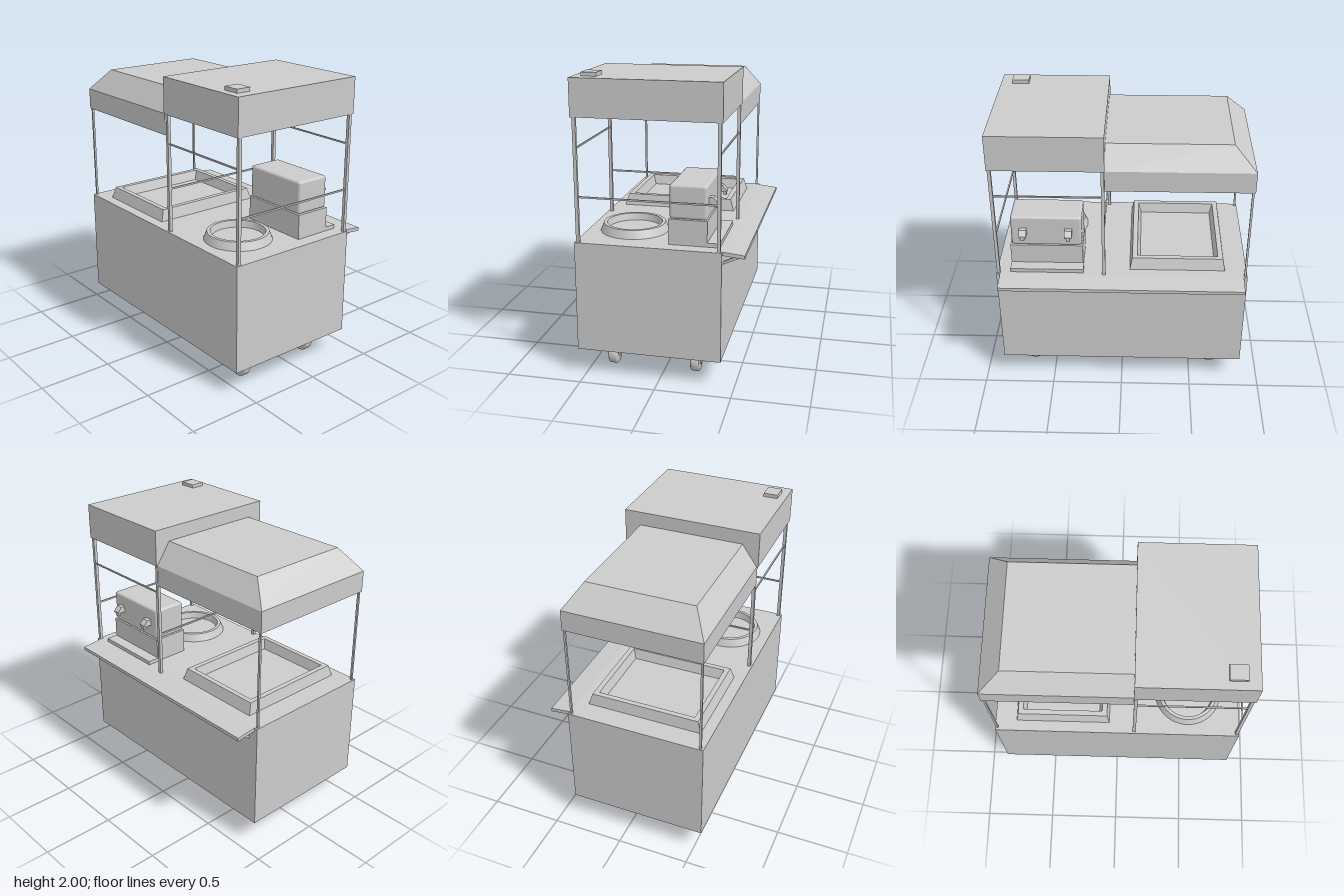
import * as THREE from 'three';
import { toCreasedNormals } from 'three/addons/utils/BufferGeometryUtils.js';
import { RoundedBoxGeometry } from 'three/addons/geometries/RoundedBoxGeometry.js';

const grey = new THREE.MeshStandardMaterial({ color: 0xcccccc });
const thin = new THREE.MeshStandardMaterial({ color: 0xcccccc, side: THREE.DoubleSide });

// Flat-faced skin through rings of four corners; the last ring is capped
function loft(rings, closed) {
  const p = [];
  const quad = (a, b, c, d) => p.push(...a, ...b, ...c, ...a, ...c, ...d);
  for (let i = 0; i < rings.length - 1; i++) {
    for (let j = 0; j < (closed ? 4 : 3); j++) {
      const k = (j + 1) % 4;
      quad(rings[i][j], rings[i][k], rings[i + 1][k], rings[i + 1][j]);
    }
  }
  quad(...rings[rings.length - 1]);
  const g = new THREE.BufferGeometry();
  g.setAttribute('position', new THREE.Float32BufferAttribute(p, 3));
  g.computeVertexNormals();
  return g;
}

// Corner ring, counter-clockwise seen from above
const ring = (x0, x1, z0, z1, y) => [[x1, y, z1], [x1, y, z0], [x0, y, z0], [x0, y, z1]];

export function createModel() {
  const model = new THREE.Group();

  const add = (name, geometry, parent = model, material = grey) => {
    const mesh = new THREE.Mesh(geometry, material);
    mesh.name = name;
    parent.add(mesh);
    return mesh;
  };
  // Box given by its limits on each axis
  const box = (name, x0, x1, y0, y1, z0, z1, parent) => {
    const m = add(name, new THREE.BoxGeometry(x1 - x0, y1 - y0, z1 - z0), parent);
    m.position.set((x0 + x1) / 2, (y0 + y1) / 2, (z0 + z1) / 2);
    return m;
  };
  // Outline in x and y, extruded along z
  const plate = (name, points, z0, z1, parent) => {
    const shape = new THREE.Shape(points.map(([x, y]) => new THREE.Vector2(x, y)));
    const g = new THREE.ExtrudeGeometry(shape, { depth: z1 - z0, bevelEnabled: false });
    add(name, g, parent).position.z = z0;
  };

  // Cabinet, front roof and vent
  box('cabinet', -0.555, 0.408, 0.17, 0.915, -0.865, 0.865);
  box('frontRoof', -0.555, 0.408, 1.73, 1.975, 0.108, 0.865);
  box('roofVent', -0.5, -0.4, 1.975, 2.0, 0.67, 0.785);

  // Hollow rear canopy with sloped shoulders, open towards the front
  add('rearCanopy', loft([
    ring(-0.545, 0.398, -0.865, 0.108, 1.585),
    ring(-0.545, 0.398, -0.865, 0.108, 1.73),
    ring(-0.44, 0.295, -0.72, 0.108, 1.88),
  ], false), model, thin);

  // Posts and rails
  const frame = new THREE.Group();
  frame.name = 'frame';
  model.add(frame);
  for (const x of [-0.532, 0.388]) {
    for (const z of [0.122, 0.849]) {
      box('post', x - 0.011, x + 0.011, 0.915, 1.73, z - 0.011, z + 0.011, frame);
    }
    box('rearPost', x - 0.007, x + 0.007, 0.915, 1.6, -0.857, -0.843, frame);
    box('sideRail', x - 0.005, x + 0.005, 1.525, 1.535, 0.122, 0.849, frame);
  }
  for (const z of [0.122, 0.849]) {
    box('crossRail', -0.532, 0.388, 1.211, 1.222, z - 0.005, z + 0.005, frame);
  }

  // Tilted side shelf on diagonal brackets
  const shelf = new THREE.Group();
  shelf.name = 'sideShelf';
  model.add(shelf);
  plate('shelfBoard', [[0.408, 0.89], [0.55, 0.876], [0.55, 0.9], [0.408, 0.915]], -0.84, 0.84, shelf);
  for (const z of [0.793, -0.787]) {
    plate('shelfBracket', [[0.408, 0.82], [0.54, 0.88], [0.51, 0.885], [0.408, 0.838]], z - 0.01, z + 0.01, shelf);
  }

  // Rectangular pan with sloped rim
  add('rectangularPan', loft([
    ring(-0.48, 0.33, -0.715, -0.055, 0.915),
    ring(-0.455, 0.305, -0.7, -0.072, 0.995),
    ring(-0.42, 0.27, -0.665, -0.107, 0.995),
    ring(-0.4, 0.25, -0.645, -0.127, 0.925),
  ], true), model, thin);

  // Round pan
  const bowl = [[0.23, 0], [0.208, 0.055], [0.185, 0.055], [0.175, 0.008], [0, 0.008]];
  const bowlGeometry = new THREE.LatheGeometry(bowl.map(([r, y]) => new THREE.Vector2(r, y)), 48);
  add('roundPan', toCreasedNormals(bowlGeometry, 0.5), model, thin).position.set(-0.25, 0.915, 0.5);

  // Drink dispenser with base, drip tray and two taps
  const dispenser = new THREE.Group();
  dispenser.name = 'dispenser';
  model.add(dispenser);
  box('dispenserBase', 0.045, 0.298, 0.915, 1.085, 0.27, 0.77, dispenser);
  box('dripTray', 0.298, 0.38, 0.915, 0.942, 0.265, 0.77, dispenser);
  add('dispenserTank', new RoundedBoxGeometry(0.245, 0.225, 0.485, 3, 0.018), dispenser)
    .position.set(0.172, 1.197, 0.518);
  for (const z of [0.675, 0.365]) {
    plate('tapBody', [[0.29, 1.178], [0.355, 1.178], [0.355, 1.188], [0.325, 1.222], [0.29, 1.222]],
      z - 0.025, z + 0.025, dispenser);
    box('tapNozzle', 0.326, 0.35, 1.155, 1.18, z - 0.012, z + 0.012, dispenser);
  }

  // Castors
  for (const x of [-0.358, 0.21]) {
    for (const z of [0.665, -0.658]) {
      const castor = new THREE.Group();
      castor.name = 'castor';
      castor.position.set(x, 0.08, z);
      model.add(castor);
      const tyre = [[0, -0.03], [0.07, -0.03], [0.077, -0.026], [0.08, -0.018],
        [0.08, 0.018], [0.077, 0.026], [0.07, 0.03], [0, 0.03]];
      const wheel = new THREE.LatheGeometry(tyre.map(([r, y]) => new THREE.Vector2(r, y)), 32);
      add('wheel', toCreasedNormals(wheel, 0.7), castor).rotation.z = Math.PI / 2;
      box('fork', -0.034, 0.034, 0, 0.09, -0.032, 0.032, castor);
      const hub = new THREE.CylinderGeometry(0.032, 0.032, 0.068, 20);
      add('forkEnd', hub, castor).rotation.z = Math.PI / 2;
    }
  }

  return model;
}
